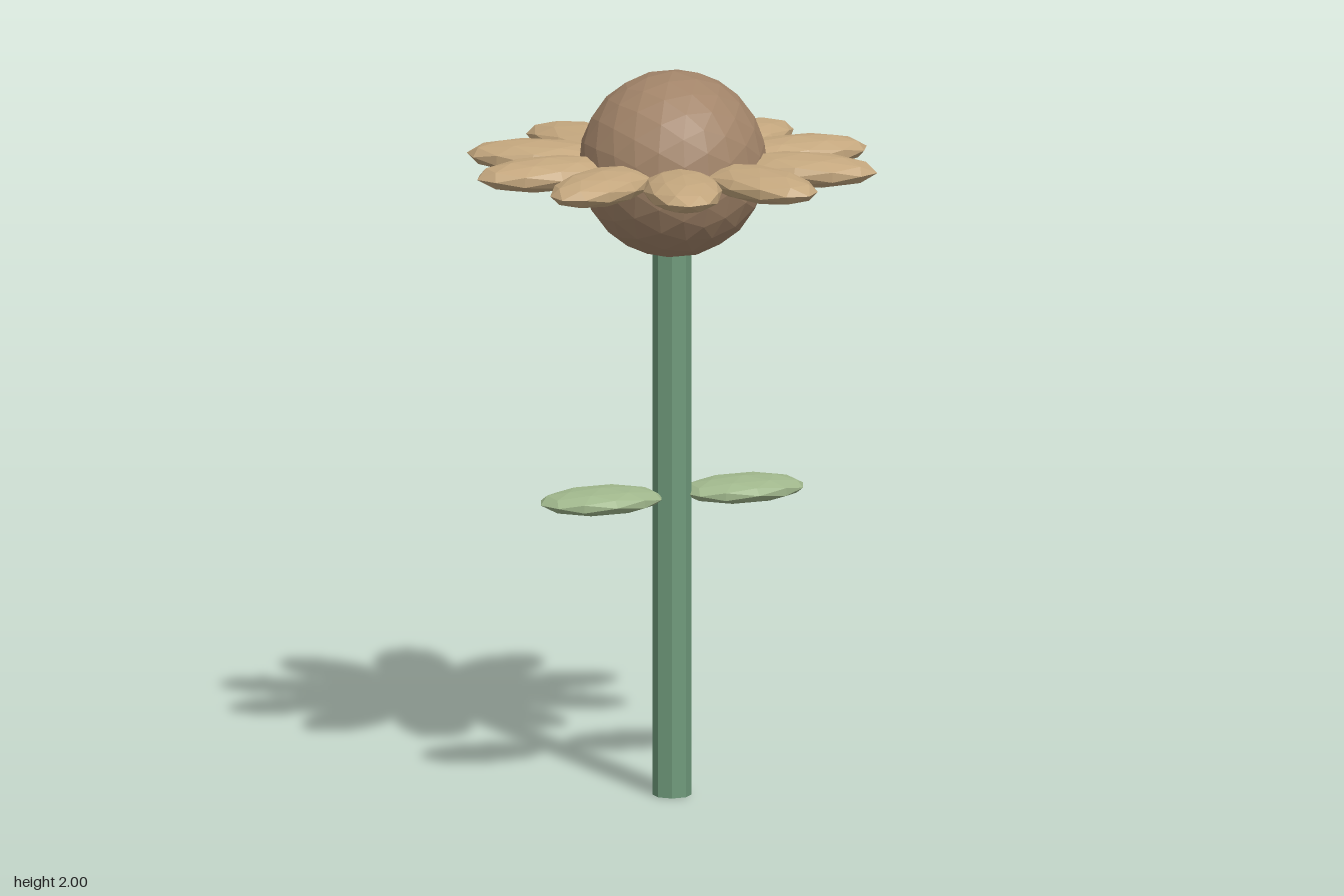
import * as THREE from 'three';

const mat = (name, color) => {
  const m = new THREE.MeshStandardMaterial({ color, flatShading: true });
  m.name = name;
  return m;
};

export function createModel() {
  const flower = new THREE.Group();
  flower.name = 'flower';
  const stemGreen = mat('stem green', 0x6f9a7b);
  const leafGreen = mat('leaf green', 0xa0b78c);
  const petalTan = mat('petal tan', 0xc4a77e);
  const centreBrown = mat('centre brown', 0xa28469);

  const add = (name, geometry, material) => {
    const mesh = new THREE.Mesh(geometry, material);
    mesh.name = name;
    flower.add(mesh);
    return mesh;
  };

  // Eight-sided stem with flat faces to the front and sides
  const stem = new THREE.CylinderGeometry(0.053, 0.053, 1.7, 8);
  stem.rotateY(Math.PI / 8).translate(0, 0.85, 0);
  add('stem', stem, stemGreen);

  // Faceted ball in the middle of the bloom
  const centre = new THREE.IcosahedronGeometry(0.255, 3);
  centre.translate(0, 1.745, 0.007);
  add('flowerCentre', centre, centreBrown);

  // Ring of ten flattened petals
  const petal = new THREE.IcosahedronGeometry(1, 1);
  petal.scale(0.207, 0.045, 0.107).translate(0.363, 0, 0);
  for (let i = 0; i < 10; i++) {
    const mesh = add('petal' + (i + 1), petal, petalTan);
    mesh.position.y = 1.745;
    mesh.rotation.y = (i * Math.PI) / 5;
  }

  // Two leaves on opposite sides of the stem
  const leaf = new THREE.IcosahedronGeometry(1, 1);
  leaf.scale(0.177, 0.035, 0.117).translate(0.207, 0, 0);
  ['leftLeaf', 'rightLeaf'].forEach((name, i) => {
    const mesh = add(name, leaf, leafGreen);
    mesh.position.y = 0.83;
    mesh.rotation.y = i * Math.PI;
  });

  return flower;
}
